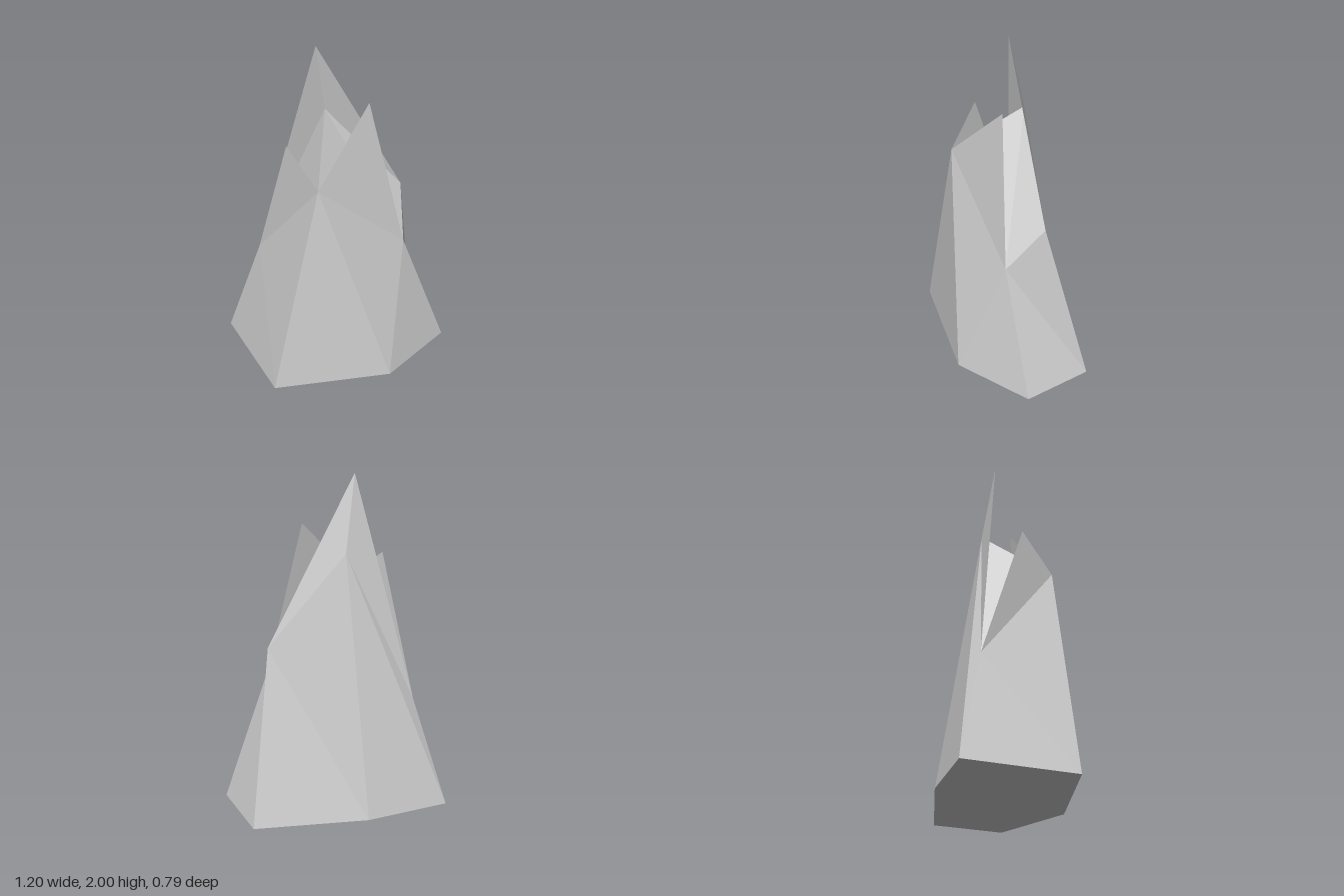
import * as THREE from 'three';

// Foot of the rock, counterclockwise from the back right corner (model's own right)
const foot = [
  [-0.6, 0, -0.375], [-0.515, 0, 0.285], [0.165, 0, 0.392],
  [0.6, 0, 0.143], [0.55, 0, -0.267], [-0.107, 0, -0.396],
];
// Uneven shoulder ring, same direction
const shoulder = [
  [-0.432, 0.66, -0.23], [-0.217, 1.285, 0.232], [0.322, 0.78, 0.155],
  [0.382, 1.03, -0.06], [-0.05, 1.567, -0.14],
];
// Tips of the sharp fins
const rightTip = [-0.33, 1.48, 0.03];
const frontTip = [0.13, 1.69, 0.08];
const peakTip = [-0.12, 2, -0.077];

const material = new THREE.MeshStandardMaterial({
  color: 0xcccccc, flatShading: true, side: THREE.DoubleSide,
});

// Faceted mesh from a list of triangles
function facets(name, triangles) {
  const geometry = new THREE.BufferGeometry();
  geometry.setAttribute('position', new THREE.Float32BufferAttribute(triangles.flat(2), 3));
  geometry.computeVertexNormals();
  const mesh = new THREE.Mesh(geometry, material);
  mesh.name = name;
  return mesh;
}

// Triangle fan over a ring of corners
function fan(ring) {
  const triangles = [];
  for (let i = 1; i < ring.length - 1; i++) triangles.push([ring[0], ring[i], ring[i + 1]]);
  return triangles;
}

export function createModel() {
  const group = new THREE.Group();
  group.name = 'rockSpire';

  // Sides: each foot edge rises to one shoulder corner, each shoulder edge drops to one foot corner
  const above = [0, 1, 2, 2, 3, 4];
  const sides = [];
  foot.forEach((corner, i) => {
    const next = foot[(i + 1) % foot.length];
    const top = shoulder[above[i]];
    const nextTop = shoulder[above[(i + 1) % foot.length]];
    sides.push([corner, next, top]);
    if (nextTop !== top) sides.push([next, nextTop, top]);
  });
  group.add(facets('rockSides', sides));

  // Underside and sloping top
  group.add(facets('rockUnderside', fan([...foot].reverse())));
  const [s0, s1, s2, s3, s4] = shoulder;
  group.add(facets('rockTop', fan([s4, s0, s1, s2, s3])));

  // Thin fins standing on the shoulder edges
  group.add(facets('rightFin', [[s0, s1, rightTip]]));
  group.add(facets('frontFin', [[s1, s2, frontTip]]));
  group.add(facets('peakFin', [[s3, s4, peakTip], [s4, s0, peakTip]]));

  return group;
}
